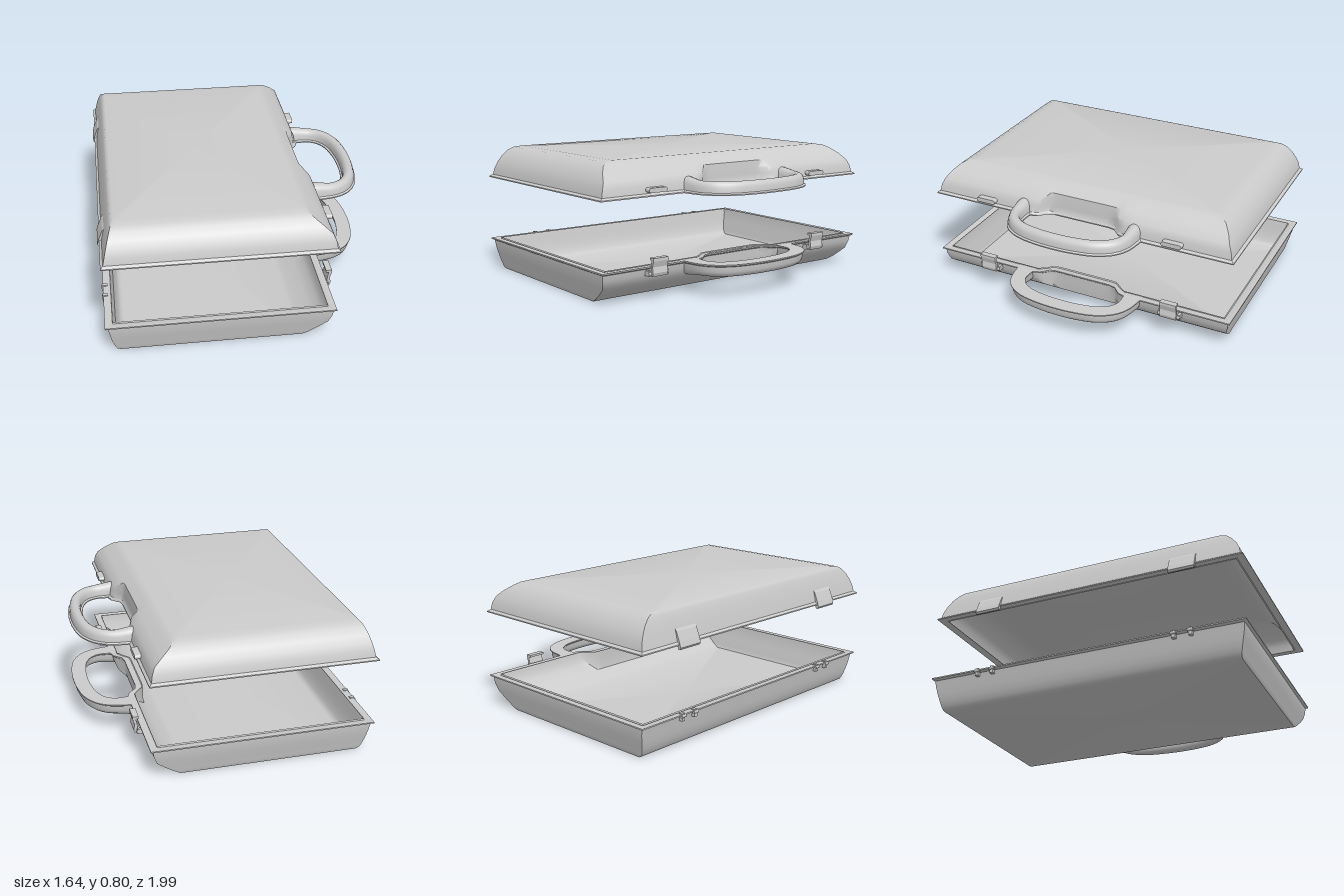
import * as THREE from 'three';
import { toCreasedNormals } from 'three/addons/utils/BufferGeometryUtils.js';

const material = new THREE.MeshStandardMaterial({ color: 0xcccccc });
const LID_Y = 0.6, TRAY_Y = 0.2;

function addMesh(group, name, geometry) {
  const mesh = new THREE.Mesh(geometry, material);
  mesh.name = name;
  group.add(mesh);
  return mesh;
}

// Skin over rows of closed cross-sections
function skin(rows, flip, crease) {
  const n = rows[0].length, index = [];
  for (let k = 0; k < rows.length - 1; k++) {
    for (let i = 0; i < n; i++) {
      const j = (i + 1) % n;
      const a = k * n + i, b = k * n + j, c = b + n, d = a + n;
      index.push(...(flip ? [a, c, b, a, d, c] : [a, b, c, a, c, d]));
    }
  }
  const geometry = new THREE.BufferGeometry().setFromPoints(rows.flat());
  geometry.setIndex(index);
  return toCreasedNormals(geometry, crease);
}

// Front edge limit: scooped inward behind the handle opening
const scoop = (z) => 0.455 + 0.11 * THREE.MathUtils.smoothstep(Math.abs(z), 0.2, 0.34);

// Rectangular loop, anticlockwise from above, with the scoop on its +x side
function loop(y, left, right, halfZ, inset) {
  const points = [], steps = 44, { lerp } = THREE.MathUtils;
  const corners = [[right, halfZ], [right, -halfZ], [left, -halfZ], [left, halfZ]];
  corners.forEach(([x0, z0], s) => {
    const [x1, z1] = corners[(s + 1) % 4];
    for (let i = 0; i < steps; i++) {
      const z = lerp(z0, z1, i / steps);
      let x = lerp(x0, x1, i / steps);
      if (s === 0) x = Math.min(x, scoop(z) - inset);
      points.push(new THREE.Vector3(x, y, z));
    }
  });
  return points;
}

// Hollow half: cavity, flat rim, then outer wall. h is the distance from the rim plane
function shell(profile, baseY, dir) {
  const centre = (h) => [h, -0.2, -0.2, 0, 0];
  const cavity = profile.slice(2).reverse().map(([h, l, r, z]) =>
    [h - 0.02, l + 0.03, r - 0.03, z - 0.035, 0.045]);
  const sections = [
    centre(0.18), ...cavity,
    [0.004, -0.768, 0.482, 0.947, 0.04],
    [0, -0.775, 0.49, 0.955, 0.035],
    ...profile, centre(0.2),
  ];
  const rows = sections.map(([h, l, r, z, inset]) => loop(baseY + dir * h, l, r, z, inset));
  return skin(rows, dir < 0, 0.7);
}

// [height, left, right, half depth, scoop inset]
const lidProfile = [
  [0, -0.812, 0.527, 0.993, 0],
  [0.007, -0.812, 0.527, 0.993, 0],
  [0.018, -0.797, 0.512, 0.976, 0.01],
  [0.06, -0.787, 0.505, 0.968, 0.012],
  [0.1, -0.777, 0.488, 0.95, 0.015],
  [0.14, -0.765, 0.44, 0.924, 0.02],
  [0.175, -0.752, 0.39, 0.888, 0.03],
  [0.193, -0.742, 0.363, 0.852, 0.04],
  [0.2, -0.725, 0.34, 0.8, 0.05],
];
const trayProfile = [
  [0, -0.812, 0.527, 0.993, 0],
  [0.008, -0.812, 0.527, 0.993, 0],
  [0.016, -0.795, 0.512, 0.978, 0.01],
  [0.05, -0.788, 0.506, 0.975, 0.012],
  [0.1, -0.78, 0.486, 0.963, 0.015],
  [0.14, -0.769, 0.435, 0.953, 0.02],
  [0.172, -0.758, 0.39, 0.945, 0.03],
  [0.19, -0.747, 0.36, 0.941, 0.04],
  [0.2, -0.73, 0.34, 0.936, 0.05],
];

// Half-round handle with a thin flange along the rim plane
function handle(baseY, dir) {
  const half = [[0.485, 0.37], [0.54, 0.37], [0.62, 0.362], [0.69, 0.322], [0.742, 0.24], [0.768, 0.12]];
  const path = [...half, [0.775, 0], ...half.map(([x, z]) => [x, -z]).reverse()];
  const curve = new THREE.CatmullRomCurve3(path.map(([x, z]) => new THREE.Vector3(x, 0, z)));
  const side = [[0.046, 0], [0.046, 0.007], [0.036, 0.014], [0.034, 0.045], [0.026, 0.064], [0.014, 0.074]];
  const section = [...side.map(([u, h]) => [-u, h]), [0, 0.077], ...side.slice().reverse()];
  const rows = [], steps = 48, up = new THREE.Vector3(0, 1, 0);
  for (let i = 0; i <= steps; i++) {
    const p = curve.getPointAt(i / steps);
    const out = curve.getTangentAt(i / steps).cross(up).normalize();
    const swell = 1 - THREE.MathUtils.smoothstep(p.x, 0.48, 0.62);
    rows.push(section.map(([u, h]) => p.clone()
      .addScaledVector(out, u * (1 + 0.25 * swell))
      .setY(baseY + dir * h * (1 + 0.2 * swell))));
  }
  return skin(rows, dir < 0, 0.8);
}

// Side outline in x and y, extruded along z and centred on the given z
function sideExtrude(points, width, z) {
  const shape = new THREE.Shape(points.map(([x, y]) => new THREE.Vector2(x, y)));
  return new THREE.ExtrudeGeometry(shape, { depth: width, bevelEnabled: false }).translate(0, 0, z - width / 2);
}

function rod(radius, length, x, y, z) {
  return new THREE.CylinderGeometry(radius, radius, length, 12).rotateX(Math.PI / 2).translate(x, y, z);
}

export function createModel() {
  const model = new THREE.Group();
  model.name = 'openCase';
  const lid = new THREE.Group();
  lid.name = 'lid';
  const tray = new THREE.Group();
  tray.name = 'tray';
  model.add(lid, tray);

  addMesh(lid, 'lidShell', shell(lidProfile, LID_Y, 1));
  addMesh(lid, 'lidHandle', handle(LID_Y, 1));
  addMesh(tray, 'trayShell', shell(trayProfile, TRAY_Y, -1));
  addMesh(tray, 'trayHandle', handle(TRAY_Y, -1));

  for (const s of [-1, 1]) {
    const z = 0.62 * s;

    // Rounded catch on the lid front
    const catchShape = new THREE.Shape();
    catchShape.absarc(0.05, 0, 0.014, -Math.PI / 2, Math.PI / 2);
    catchShape.absarc(-0.05, 0, 0.014, Math.PI / 2, Math.PI * 1.5);
    const catchGeometry = new THREE.ExtrudeGeometry(catchShape, { depth: 0.05, bevelEnabled: false })
      .rotateY(Math.PI / 2).translate(0.495, 0.638, z);
    addMesh(lid, 'latchCatch', catchGeometry);

    // Hooked clasp and its pivot on the tray front
    addMesh(tray, 'latchClasp', sideExtrude([
      [0.535, 0.145], [0.555, 0.145], [0.562, 0.165], [0.556, 0.2], [0.566, 0.235],
      [0.566, 0.253], [0.53, 0.253], [0.53, 0.24], [0.548, 0.236], [0.54, 0.2],
    ], 0.105, z));
    addMesh(tray, 'claspPivot', rod(0.013, 0.14, 0.535, 0.16, z));
    for (const e of [-1, 1]) {
      addMesh(tray, 'pivotBracket', new THREE.BoxGeometry(0.05, 0.032, 0.018).translate(0.517, 0.162, z + 0.062 * e));
    }

    // Hinge tab on the lid back, with knuckles on the tray
    addMesh(lid, 'hingeTab', sideExtrude([
      [-0.77, 0.7], [-0.79, 0.675], [-0.812, 0.62], [-0.822, 0.588], [-0.815, 0.576],
      [-0.802, 0.578], [-0.798, 0.602], [-0.77, 0.61],
    ], 0.16, 0.63 * s));
    for (const e of [-1, 1]) {
      addMesh(tray, 'hingeKnuckle', new THREE.BoxGeometry(0.03, 0.045, 0.022).translate(-0.8, 0.183, 0.625 * s + 0.05 * e));
      addMesh(tray, 'hingePin', rod(0.01, 0.035, -0.811, 0.19, 0.625 * s + 0.05 * e));
    }
  }
  return model;
}
